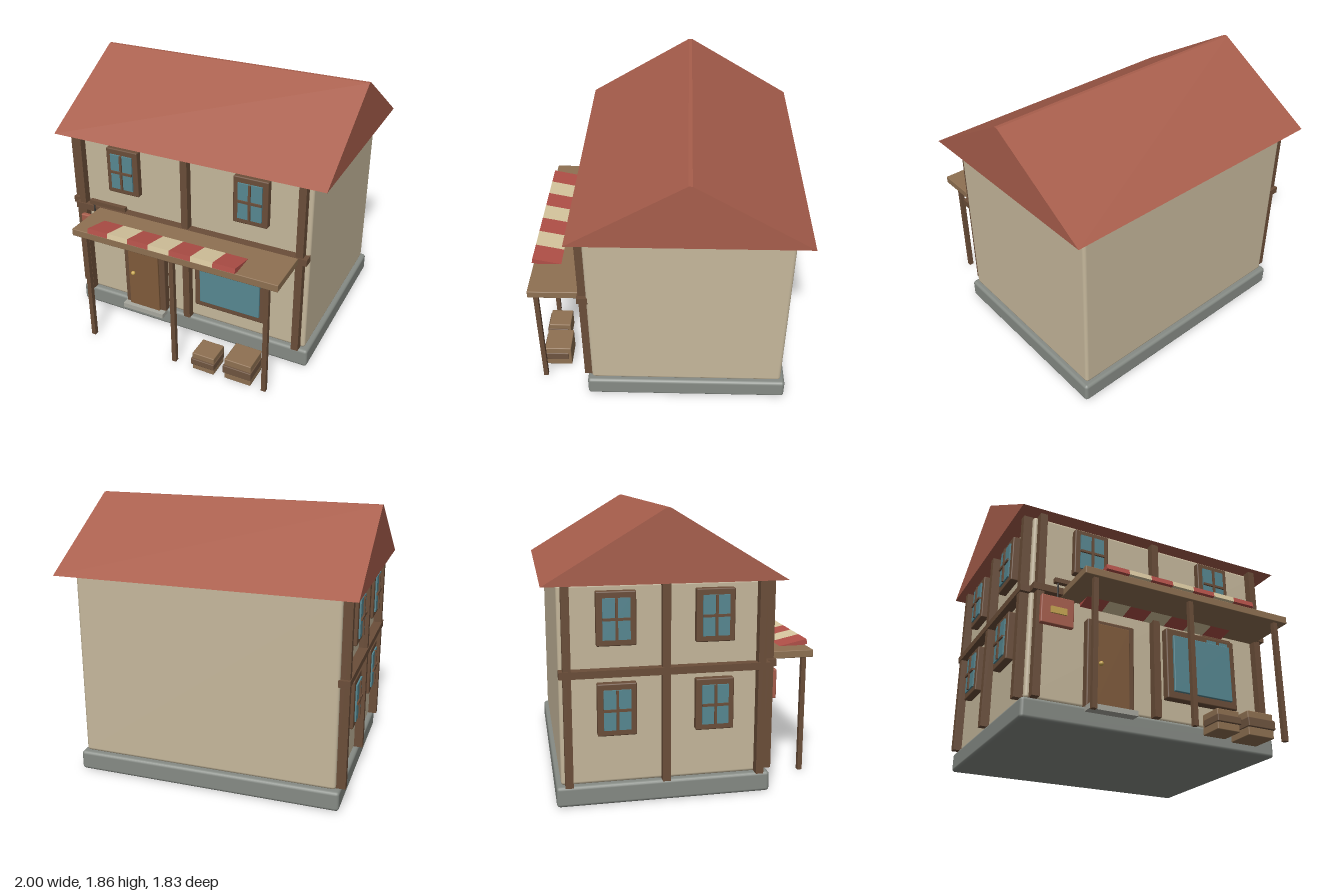
import * as THREE from 'three';
import { RoundedBoxGeometry } from 'three/addons/geometries/RoundedBoxGeometry.js';

const mat = (color) => new THREE.MeshStandardMaterial({ color });
const M = {
  wall: mat(0xc6b89c), stone: mat(0x868b85), roof: mat(0xa85e4c), timber: mat(0x6b4e39),
  plank: mat(0x8f7152), band: mat(0x6f5540), door: mat(0x805b3b), glass: mat(0x578892),
  red: mat(0xb25048), cream: mat(0xd9c8a0), brass: mat(0xc9a650), step: mat(0xa9a99f), iron: mat(0x3c3a38),
};

function add(parent, name, geometry, material, x = 0, y = 0, z = 0) {
  const mesh = new THREE.Mesh(geometry, material);
  mesh.name = name;
  mesh.position.set(x, y, z);
  parent.add(mesh);
  return mesh;
}

// Box given by its extents on each axis; r > 0 rounds the edges
function block(parent, name, material, [x0, x1], [y0, y1], [z0, z1], r = 0) {
  const s = [x1 - x0, y1 - y0, z1 - z0];
  const g = r ? new RoundedBoxGeometry(...s, 2, r) : new THREE.BoxGeometry(...s);
  return add(parent, name, g, material, (x0 + x1) / 2, (y0 + y1) / 2, (z0 + z1) / 2);
}

// Four-pane window, wall plane at z = 0, facing +z
function paneWindow(name) {
  const g = new THREE.Group();
  g.name = name;
  block(g, 'windowFrame', M.timber, [-0.123, 0.123], [-0.168, 0.168], [-0.01, 0.045], 0.008);
  block(g, 'windowGlass', M.glass, [-0.085, 0.085], [-0.128, 0.128], [0, 0.056]);
  block(g, 'uprightBar', M.timber, [-0.008, 0.008], [-0.128, 0.128], [0, 0.067]);
  block(g, 'crossBar', M.timber, [-0.085, 0.085], [-0.008, 0.008], [0, 0.067]);
  return g;
}

function crate(parent, [x0, x1], h, [z0, z1], [b0, b1]) {
  const g = new THREE.Group();
  g.name = 'crate';
  block(g, 'crateBox', M.plank, [x0, x1], [0, h], [z0, z1], 0.006);
  block(g, 'crateBand', M.band, [x0 - 0.006, x1 + 0.006], [b0, b1], [z0 + 0.02, z1 + 0.014], 0.005);
  parent.add(g);
}

export function createModel() {
  const house = new THREE.Group();
  house.name = 'house';
  const midZ = -0.155;

  // Foundation and walls
  block(house, 'foundation', M.stone, [-0.92, 0.92], [0, 0.135], [-0.85, 0.54], 0.022);
  block(house, 'walls', M.wall, [-0.89, 0.89], [0.135, 1.412], [-0.82, 0.51], 0.022);

  // Gabled roof: triangle in the z-y plane, extruded along x
  const gable = new THREE.Shape([
    new THREE.Vector2(-0.758, 0), new THREE.Vector2(0.758, 0),
    new THREE.Vector2(0.012, 0.448), new THREE.Vector2(-0.012, 0.448),
  ]);
  const roof = add(house, 'roof', new THREE.ExtrudeGeometry(gable, { depth: 2, bevelEnabled: false }),
    M.roof, -1, 1.415, midZ);
  roof.rotation.y = Math.PI / 2;

  // Timber framing on the front and on the right wall
  for (const x of [-0.837, 0, 0.835])
    block(house, 'frontTimber', M.timber, [x - 0.025, x + 0.025], [0.14, 1.414], [0.5, 0.563]);
  for (const dz of [-0.615, 0, 0.615])
    block(house, 'sideTimber', M.timber, [-0.95, -0.88], [0.14, 1.414], [midZ + dz - 0.025, midZ + dz + 0.025]);
  block(house, 'frontBeam', M.timber, [-0.89, 0.89], [0.842, 0.888], [0.5, 0.572]);
  block(house, 'sideBeam', M.timber, [-0.955, -0.88], [0.842, 0.888], [-0.82, 0.51]);

  // Windows
  for (const [x, y] of [[-0.485, 1.203], [0.482, 1.203], [0.482, 0.632]]) {
    const w = paneWindow('frontWindow');
    w.position.set(x, y, 0.511);
    house.add(w);
  }
  for (const y of [0.632, 1.203]) {
    for (const dz of [-0.31, 0.31]) {
      const w = paneWindow('sideWindow');
      w.rotation.y = -Math.PI / 2;
      w.position.set(-0.9, y, midZ + dz);
      house.add(w);
    }
  }

  // Shop window
  block(house, 'shopWindowFrame', M.timber, [0.073, 0.621], [0.282, 0.785], [0.5, 0.565], 0.01);
  block(house, 'shopWindowGlass', M.glass, [0.12, 0.573], [0.332, 0.733], [0.52, 0.582], 0.005);

  // Door
  block(house, 'doorFrame', M.timber, [-0.51, -0.175], [0.12, 0.725], [0.5, 0.565], 0.01);
  block(house, 'door', M.door, [-0.467, -0.218], [0.125, 0.693], [0.52, 0.582], 0.005);
  add(house, 'doorKnob', new THREE.SphereGeometry(0.016, 16, 12), M.brass, -0.424, 0.413, 0.591);
  block(house, 'doorStep', M.step, [-0.51, -0.175], [0.1, 0.135], [0.52, 0.615]);

  // Porch
  block(house, 'porchRoof', M.plank, [-0.688, 0.83], [0.835, 0.887], [0.515, 0.905], 0.005);
  for (const x of [-0.605, 0.07, 0.747])
    block(house, 'porchPost', M.timber, [x - 0.016, x + 0.016], [0, 0.838], [0.852, 0.884]);

  // Striped awning, tilted up towards the front
  const awning = new THREE.Group();
  awning.name = 'awning';
  awning.position.set(-0.002, 0.87, 0.718);
  awning.rotation.x = -0.21;
  const stripe = 0.1565;
  for (let i = 0; i < 7; i++)
    add(awning, 'awningStripe', new THREE.BoxGeometry(stripe, 0.035, 0.4), i % 2 ? M.cream : M.red, (i - 3) * stripe);
  house.add(awning);

  // Hanging sign
  block(house, 'signBracket', M.timber, [-0.755, -0.46], [0.912, 0.943], [0.56, 0.592]);
  add(house, 'signRod', new THREE.CylinderGeometry(0.006, 0.006, 0.12, 8), M.iron, -0.728, 0.86, 0.577);
  block(house, 'signBoard', M.roof, [-0.842, -0.618], [0.61, 0.807], [0.56, 0.595], 0.008);
  block(house, 'signPlate', M.brass, [-0.78, -0.67], [0.685, 0.73], [0.58, 0.605]);

  // Crates by the porch
  crate(house, [0.22, 0.383], 0.135, [0.728, 0.89], [0.048, 0.095]);
  crate(house, [0.458, 0.652], 0.162, [0.69, 0.88], [0.055, 0.115]);

  return house;
}
